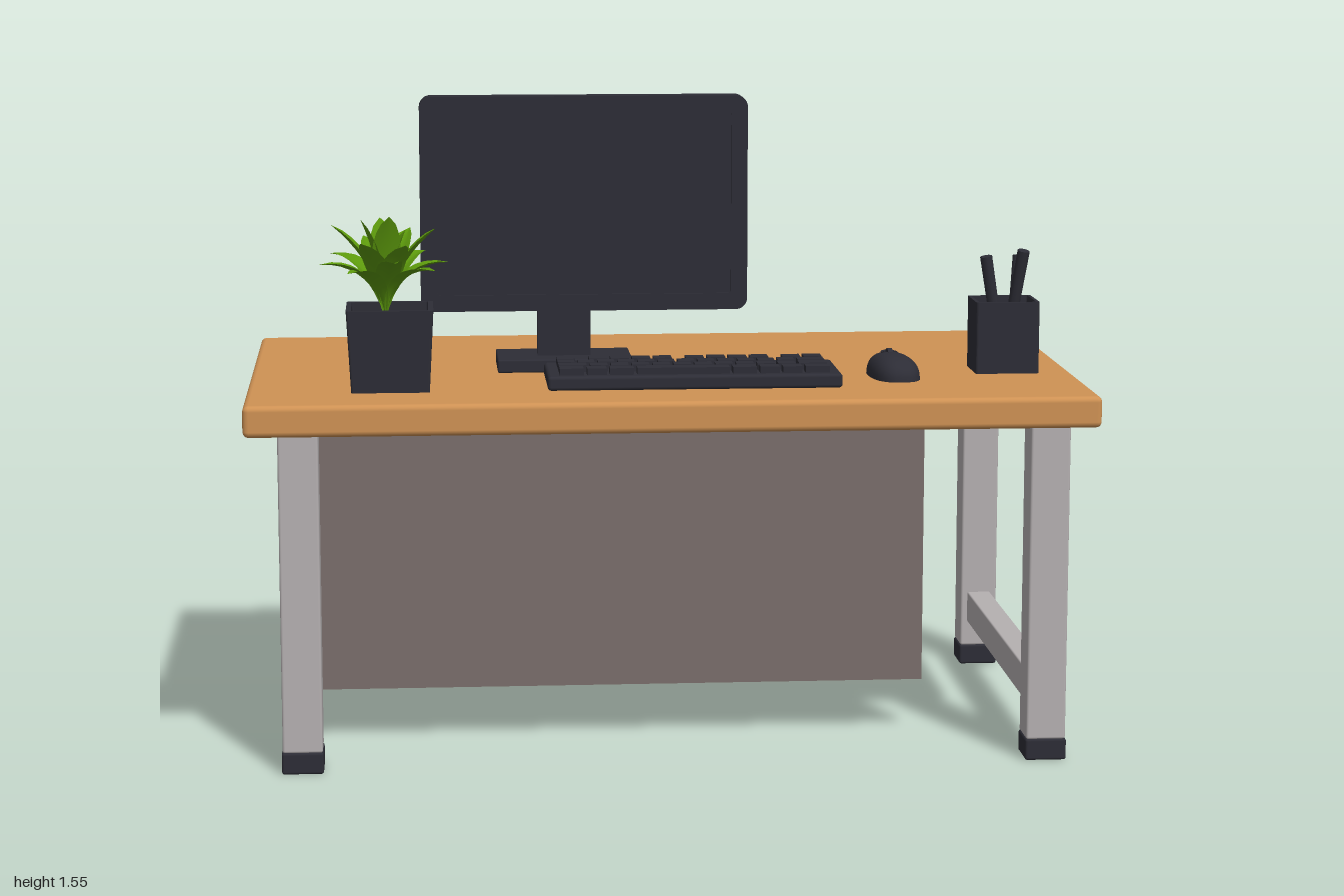
import * as THREE from 'three';
import { RoundedBoxGeometry } from 'three/addons/geometries/RoundedBoxGeometry.js';

const mat = (name, color, side = THREE.FrontSide) => {
  const m = new THREE.MeshStandardMaterial({ color, side });
  m.name = name;
  return m;
};

export function createModel() {
  const wood = mat('wood', 0xcf9254);
  const metal = mat('paintedMetal', 0xb5b0b1);
  const board = mat('brownBoard', 0x7a6e6b);
  const dark = mat('darkPlastic', 0x2d2d36);
  const green = mat('leafGreen', 0x5c990c, THREE.DoubleSide);

  const model = new THREE.Group();
  model.name = 'deskWithComputer';

  const add = (parent, name, geometry, material, x = 0, y = 0, z = 0) => {
    const mesh = new THREE.Mesh(geometry, material);
    mesh.name = name;
    mesh.position.set(x, y, z);
    parent.add(mesh);
    return mesh;
  };
  const group = (name, x = 0, y = 0, z = 0) => {
    const g = new THREE.Group();
    g.name = name;
    g.position.set(x, y, z);
    model.add(g);
    return g;
  };
  // Box given by its limits on each axis, with an optional edge radius
  const box = (parent, name, material, [x0, x1], [y0, y1], [z0, z1], r = 0) => {
    const s = [x1 - x0, y1 - y0, z1 - z0];
    const g = r ? new RoundedBoxGeometry(...s, 2, r) : new THREE.BoxGeometry(...s);
    return add(parent, name, g, material, (x0 + x1) / 2, (y0 + y1) / 2, (z0 + z1) / 2);
  };
  const roundedRect = (w, h, r, Kind = THREE.Shape) => {
    const s = new Kind();
    [[1, 1, 0], [-1, 1, 1], [-1, -1, 2], [1, -1, 3]].forEach(([sx, sy, q]) =>
      s.absarc(sx * (w / 2 - r), sy * (h / 2 - r), r, q * Math.PI / 2, (q + 1) * Math.PI / 2, false));
    s.closePath();
    return s;
  };

  // Desk frame
  const desk = group('desk');
  box(desk, 'tableTop', wood, [-1, 1], [0.805, 0.88], [-0.565, 0.565], 0.014);
  for (const x of [-0.875, 0.885]) {
    for (const z of [-0.488, 0.488]) {
      box(desk, 'leg', metal, [x - 0.047, x + 0.047], [0.05, 0.81], [z - 0.047, z + 0.047], 0.006);
      box(desk, 'foot', dark, [x - 0.049, x + 0.049], [0, 0.052], [z - 0.05, z + 0.05], 0.006);
    }
    box(desk, 'sideRail', metal, [x - 0.03, x + 0.03], [0.115, 0.195], [-0.45, 0.45], 0.004);
  }
  box(desk, 'sidePanel', metal, [-0.912, -0.885], [0.1, 0.81], [-0.445, 0.445]);
  box(desk, 'modestyPanel', board, [-0.89, 0.63], [0.13, 0.81], [0.2, 0.24]);

  // Monitor: frame around a slightly sunken screen slab
  const monitor = group('monitor', -0.185, 0, 0.018);
  const frame = roundedRect(0.8, 0.525, 0.028);
  frame.holes.push(roundedRect(0.72, 0.445, 0.008, THREE.Path));
  add(monitor, 'bezel', new THREE.ExtrudeGeometry(frame,
    { depth: 0.062, bevelEnabled: false, curveSegments: 5 }), dark, 0, 1.2875, -0.031);
  box(monitor, 'screen', dark, [-0.362, 0.362], [1.063, 1.512], [-0.024, 0.024]);
  box(monitor, 'standNeck', dark, [-0.115, 0.015], [0.9, 1.04], [-0.028, 0.012]);
  box(monitor, 'standBase', dark, [-0.215, 0.115], [0.88, 0.912], [-0.11, 0.082], 0.004);

  // Keyboard: each row lists key widths in units
  const keyboard = group('keyboard', 0.06, 0.88, 0.273);
  box(keyboard, 'keyboardBase', dark, [-0.35, 0.35], [0, 0.034], [-0.118, 0.118], 0.008);
  const rows = [
    [1, 0.5, 1, 1, 1, 1, 0.5, 1, 1, 1, 1, 0.5, 1, 1],
    [1, 1, 1, 1, 1, 1, 1, 1, 1, 1, 1, 1, 1.5],
    [1.5, 1, 1, 1, 1, 1, 1, 1, 1, 1, 1, 1.5],
    [1.2, 1, 1.2, 4.2, 1.2, 1, 1, 1.2],
  ];
  rows.forEach((row, r) => {
    const unit = 0.65 / row.reduce((a, b) => a + b, 0);
    let x = -0.325;
    const z = -0.084 + r * 0.053;
    row.forEach((w) => {
      if (w !== 0.5) { // half units are gaps between key groups
        box(keyboard, 'key', dark, [x + 0.004, x + w * unit - 0.004],
          [0.03, 0.05], [z - 0.021, z + 0.021]);
      }
      x += w * unit;
    });
  });

  // Mouse: squared-off half dome with wheel
  const mouse = group('mouse', 0.553, 0.88, 0.213);
  mouse.rotation.y = 0.12;
  const dome = new THREE.SphereGeometry(1, 28, 10, 0, Math.PI * 2, 0, Math.PI / 2);
  const p = dome.attributes.position;
  const soften = (v) => Math.sign(v) * Math.abs(v) ** 0.8;
  for (let i = 0; i < p.count; i++) {
    const z = soften(p.getZ(i));
    p.setXYZ(i, soften(p.getX(i)) * (0.057 + 0.004 * z), Math.max(p.getY(i), 0) ** 0.85 * 0.056, z * 0.108);
  }
  dome.computeVertexNormals();
  add(mouse, 'mouseBody', dome, dark);
  const wheel = add(mouse, 'mouseWheel', new THREE.CylinderGeometry(0.017, 0.017, 0.012, 14), dark, 0, 0.047, -0.03);
  wheel.rotation.z = Math.PI / 2;
  const ring = add(mouse, 'wheelRing', new THREE.TorusGeometry(0.018, 0.003, 5, 18), dark, 0, 0.053, -0.03);
  ring.rotation.x = -Math.PI / 2;
  ring.scale.y = 1.6;

  // Open square pot, narrowed towards the bottom by taper
  const squarePot = (parent, name, w, d, h, wall, taper) => {
    const s = roundedRect(w, d, 0.006);
    s.holes.push(roundedRect(w - wall * 2, d - wall * 2, 0.004, THREE.Path));
    const g = new THREE.ExtrudeGeometry(s, { depth: h, bevelEnabled: false, curveSegments: 2 });
    g.rotateX(-Math.PI / 2);
    const q = g.attributes.position;
    for (let i = 0; i < q.count; i++) {
      const k = taper + (1 - taper) * q.getY(i) / h;
      q.setX(i, q.getX(i) * k);
      q.setZ(i, q.getZ(i) * k);
    }
    g.computeVertexNormals();
    add(parent, name, g, dark);
  };

  // Pen holder
  const holder = group('penHolder', 0.838, 0.88, 0.13);
  squarePot(holder, 'penPot', 0.155, 0.138, 0.175, 0.008, 1);
  box(holder, 'penPotFloor', dark, [-0.072, 0.072], [0, 0.012], [-0.064, 0.064]);
  const up = new THREE.Vector3(0, 1, 0);
  [[[0.0, -0.02], [-0.045, 0.28, 0.0]],
    [[0.0, 0.0], [0.037, 0.3, 0.058]],
    [[0.02, -0.01], [0.05, 0.272, -0.08]]].forEach(([[bx, bz], tip]) => {
    const a = new THREE.Vector3(bx, 0.015, bz);
    const b = new THREE.Vector3(...tip);
    const dir = b.clone().sub(a);
    const mid = a.clone().add(b).multiplyScalar(0.5);
    const pen = add(holder, 'pen', new THREE.CylinderGeometry(0.015, 0.013, dir.length(), 10), dark, ...mid.toArray());
    pen.quaternion.setFromUnitVectors(up, dir.normalize());
  });

  // Potted plant
  const plant = group('pottedPlant', -0.66, 0.88, 0.308);
  squarePot(plant, 'plantPot', 0.205, 0.18, 0.195, 0.012, 0.9);
  box(plant, 'soil', dark, [-0.088, 0.088], [0.01, 0.17], [-0.076, 0.076]);

  // Leaf: creased strip that arches outward, wide past the middle
  const leafGeometry = (reach, rise, droop, width) => {
    const g = new THREE.PlaneGeometry(1, 1, 4, 10);
    const q = g.attributes.position;
    for (let i = 0; i < q.count; i++) {
      const side = q.getX(i) * 2;
      const t = q.getY(i) + 0.5;
      const half = width * (0.1 + 0.9 * Math.sin(Math.PI * t ** 1.35) ** 0.8) * (t > 0.98 ? 0.15 : 1);
      const fold = Math.abs(side) * half * 0.4;
      q.setXYZ(i, side * half,
        rise * t - droop * t ** 3 + fold * 0.7,
        reach * (0.25 * t + 0.75 * t * t) - fold * 0.5);
    }
    g.computeVertexNormals();
    return g;
  };
  const tiers = [
    { count: 8, reach: 0.155, rise: 0.2, droop: 0.07, width: 0.03, turn: 0.15 },
    { count: 6, reach: 0.115, rise: 0.22, droop: 0.02, width: 0.033, turn: 0.5 },
    { count: 4, reach: 0.055, rise: 0.225, droop: 0, width: 0.034, turn: 0.2 },
  ];
  tiers.forEach(({ count, reach, rise, droop, width, turn }) => {
    for (let i = 0; i < count; i++) {
      const vary = 1 + 0.09 * Math.sin(i * 2.4 + turn * 9);
      const leaf = add(plant, 'leaf', leafGeometry(reach * vary, rise * vary, droop, width), green, -0.01, 0.168, -0.005);
      leaf.rotation.y = turn + (i / count) * Math.PI * 2;
    }
  });

  return model;
}
